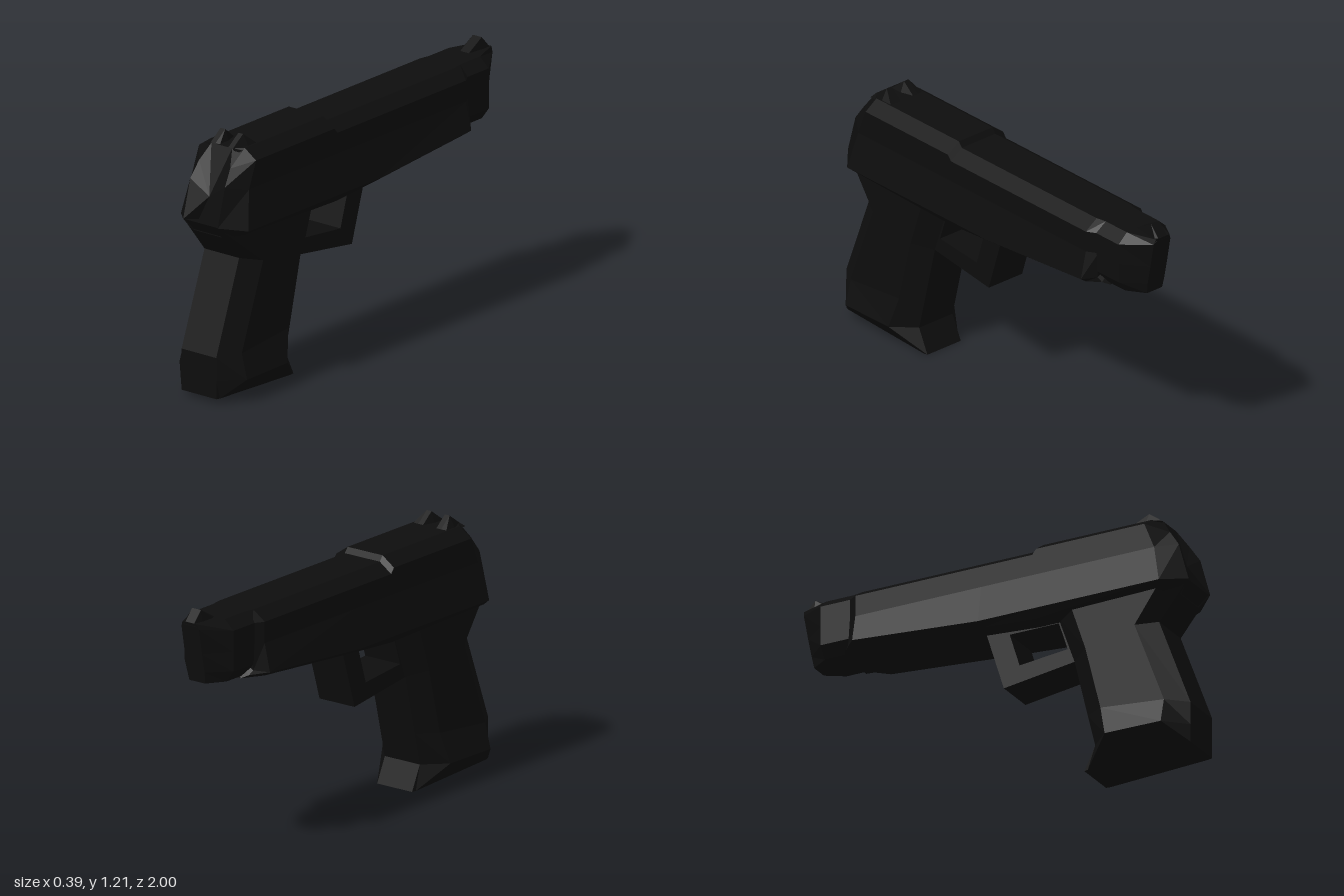
import * as THREE from 'three';

const black = new THREE.MeshStandardMaterial({ color: 0x0d0d0d, flatShading: true });
black.name = 'matte black';

// Mirrors a half section (x > 0, listed top to bottom or front to back) into a closed ring
const mirror = (half) => [...half, ...half.slice().reverse().map(([x, y, z]) => [-x, y, z])];

// Skins closed rings of equal length and caps both ends, facing outwards
function loft(name, rings) {
  const tris = [];
  const n = rings[0].length;
  for (let r = 0; r < rings.length - 1; r++) {
    const a = rings[r], b = rings[r + 1];
    for (let i = 0; i < n; i++) {
      const j = (i + 1) % n;
      tris.push([a[i], a[j], b[j]], [a[i], b[j], b[i]]);
    }
  }
  const cap = (ring, flip) => {
    const c = [0, 1, 2].map((k) => ring.reduce((s, p) => s + p[k], 0) / n);
    for (let i = 0; i < n; i++) {
      const p = ring[i], q = ring[(i + 1) % n];
      tris.push(flip ? [c, q, p] : [c, p, q]);
    }
  };
  cap(rings[0], true);
  cap(rings[rings.length - 1], false);

  // A negative enclosed volume means the corners run the wrong way
  const v = (p) => new THREE.Vector3(...p);
  const volume = tris.reduce((s, [a, b, c]) => s + v(a).dot(v(b).cross(v(c))), 0);
  if (volume < 0) tris.forEach((t) => t.reverse());

  const geo = new THREE.BufferGeometry();
  geo.setAttribute('position', new THREE.Float32BufferAttribute(tris.flat(2), 3));
  geo.computeVertexNormals();
  const mesh = new THREE.Mesh(geo, black);
  mesh.name = name;
  return mesh;
}

// Slide and frame share one section that flares at the bottom
const bodyRing = (z, top, flare, bottom) => mirror([
  [0.10, top, z], [0.165, top - 0.045, z], [0.165, 0.99, z],
  [0.195, flare, z], [0.165, bottom + 0.01, z], [0.10, bottom, z],
]);

function createBody() {
  return loft('slideAndFrame', [
    mirror([[0.09, 1.135, -0.72], [0.135, 1.09, -0.72], [0.135, 0.99, -0.72],
      [0.14, 0.87, -0.72], [0.13, 0.85, -0.74], [0.10, 0.835, -0.76]]),
    bodyRing(-0.67, 1.135, 0.86, 0.829),
    bodyRing(-0.03, 1.135, 0.81, 0.778),
    bodyRing(0.23, 1.135, 0.81, 0.76),
    bodyRing(0.25, 1.16, 0.81, 0.76),
    mirror([[0.10, 1.16, 0.80], [0.165, 1.115, 0.80], [0.165, 0.99, 0.85],
      [0.195, 0.81, 0.89], [0.165, 0.785, 0.89], [0.10, 0.76, 0.87]]),
    mirror([[0.06, 1.16, 0.84], [0.09, 1.085, 0.89], [0.10, 1.01, 0.94],
      [0.10, 0.83, 0.99], [0.09, 0.80, 0.965], [0.08, 0.77, 0.94]]),
  ]);
}

function createMuzzle() {
  const ring = (z) => mirror([[0.09, 1.135, z], [0.14, 1.09, z], [0.14, 0.99, z],
    [0.14, 0.90, z], [0.10, 0.845, z]]);
  return loft('muzzle', [
    ring(-0.66), ring(-0.86),
    mirror([[0.04, 1.135, -1], [0.05, 1.11, -0.995], [0.05, 0.99, -0.973],
      [0.05, 0.90, -0.955], [0.045, 0.845, -0.945]]),
  ]);
}

function createGrip() {
  // [front y, back y, front z, back z, half width, corner depth]
  const levels = [
    [0, 0.025, 0.46, 1, 0.105, 0.02],
    [0.115, 0.11, 0.515, 1, 0.195, 0.10],
    [0.27, 0.22, 0.477, 1, 0.165, 0.10],
    [0.55, 0.65, 0.41, 0.84, 0.165, 0.09],
    [0.79, 0.83, 0.325, 0.985, 0.165, 0.10],
  ];
  return loft('grip', levels.map(([yF, yB, zF, zB, w, c]) => {
    const at = (z) => yF + (yB - yF) * (z - zF) / (zB - zF);
    return mirror([[0.10, yF, zF], [w, at(zF + c), zF + c], [w, at(zB - c), zB - c], [0.10, yB, zB]]);
  }));
}

function createTriggerGuard() {
  // Profile drawn with -z as its x axis, then turned to run along the model
  const points = (list) => list.map(([z, y]) => new THREE.Vector2(-z, y));
  const shape = new THREE.Shape(points([[0.45, 0.555], [0.05, 0.5], [-0.04, 0.79], [0.38, 0.79]]));
  shape.holes.push(new THREE.Path(points([[0.375, 0.62], [0.13, 0.595], [0.08, 0.757], [0.33, 0.757]])));
  const geo = new THREE.ExtrudeGeometry(shape, { depth: 0.2, bevelEnabled: false });
  geo.translate(0, 0, -0.1);
  geo.rotateY(Math.PI / 2);
  const mesh = new THREE.Mesh(geo, black);
  mesh.name = 'triggerGuard';
  return mesh;
}

function createSights() {
  const sights = new THREE.Group();
  sights.name = 'sights';
  // Paired rear posts with a notch between them
  for (const s of [1, -1]) {
    const ring = (z, top) => [[s * 0.10, 1.15, z], [s * 0.065, top, z], [s * 0.038, top, z], [s * 0.015, 1.15, z]];
    sights.add(loft(s > 0 ? 'rearSightLeft' : 'rearSightRight',
      [ring(0.70, 1.152), ring(0.77, 1.21), ring(0.84, 1.16)]));
  }
  // Single front blade
  const blade = (z, top) => mirror([[0.025, top, z], [0.04, 1.12, z]]);
  sights.add(loft('frontSight', [blade(-0.86, 1.135), blade(-0.95, 1.187), blade(-0.998, 1.135)]));
  return sights;
}

export function createModel() {
  const model = new THREE.Group();
  model.name = 'pistol';
  model.add(createBody(), createMuzzle(), createGrip(), createTriggerGuard(), createSights());
  return model;
}
